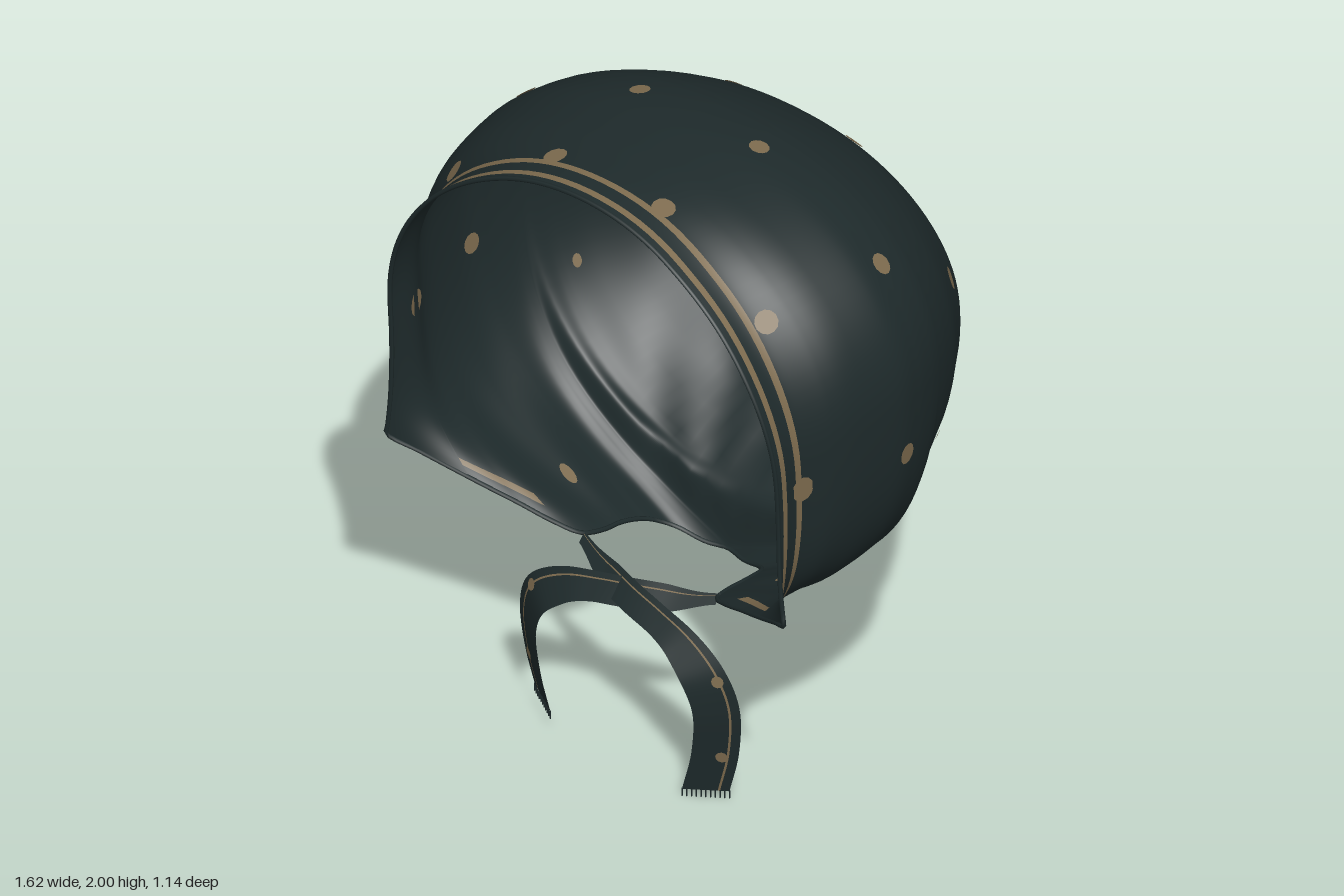
import * as THREE from 'three';
import { mergeVertices } from 'three/addons/utils/BufferGeometryUtils.js';

const V = (x, y, z) => new THREE.Vector3(x, y, z);
const smooth = THREE.MathUtils.smoothstep;

// Arch sections from the face opening to the back of the head:
// [z, half width, height of widest point, top y] and the arch end [x, y]
const SECTIONS = [
  [0.55, 0.71, 1.3, 1.975, 0.73, 0.85],
  [0.45, 0.71, 1.32, 1.985, 0.58, 0.752],
  [0.35, 0.76, 1.36, 1.99, 0.41, 0.662],
  [0.26, 0.787, 1.38, 1.995, 0.25, 0.59],
  [0.12, 0.807, 1.4, 2.0, 0.225, 0.565],
  [0.03, 0.797, 1.4, 1.995, 0.205, 0.54],
  [-0.04, 0.78, 1.4, 1.983, 0.15, 0.5],
  [-0.08, 0.767, 1.398, 1.972, 0, 0.475],
  [-0.11, 0.755, 1.39, 1.962, 0, 0.62],
  [-0.17, 0.728, 1.375, 1.937, 0, 0.685],
  [-0.25, 0.685, 1.355, 1.895, 0, 0.74],
  [-0.34, 0.62, 1.33, 1.835, 0, 0.80],
  [-0.42, 0.56, 1.31, 1.75, 0, 0.88],
  [-0.5, 0.48, 1.28, 1.62, 0, 0.97],
  [-0.54, 0.4, 1.27, 1.5, 0, 1.07],
  [-0.56, 0.26, 1.26, 1.4, 0, 1.15],
  [-0.568, 0, 1.26, 1.26, 0, 1.26],
];
const spline = (pts) => new THREE.CatmullRomCurve3(pts, false, 'catmullrom', 0.5);
const curveA = spline(SECTIONS.map((s) => V(s[0], s[1], s[2])));
const curveB = spline(SECTIONS.map((s) => V(s[3], s[4], s[5])));
const STEPS = 20, ROWS = (SECTIONS.length - 1) * STEPS, COLS = 96, NECK_ROW = 7 * STEPS;
const bezier = (t, a, b, c, d) =>
  a * (1 - t) ** 3 + 3 * b * t * (1 - t) ** 2 + 3 * c * t * t * (1 - t) + d * t ** 3;

// Point of the cap; s runs from -1 (left end) over 0 (top) to 1 (right end)
function capPoint(row, s) {
  const a = curveA.getPoint(row / ROWS), b = curveB.getPoint(row / ROWS);
  const width = Math.max(a.y, 0), endX = Math.max(b.y, 0), mid = a.z, endY = b.z;
  const q = Math.abs(s) * 2;
  let x, y, z = a.x;
  if (q < 1) {
    const e = 1 - 0.08 * (1 - smooth(z, 0.25, 0.5)), ang = q * Math.PI / 2;
    x = width * Math.pow(Math.sin(ang), e);
    y = mid + (b.x - mid) * Math.pow(Math.cos(ang), e);
  } else {
    const slope = 0.25 * smooth(z, -0.15, -0.06), h = mid - endY;
    const full = smooth(z, -0.1, 0.15);
    x = bezier(q - 1, width, width, endX + (0.6 + 0.06 * full) * (width - endX), endX);
    y = bezier(q - 1, mid, mid - (0.63 + 0.09 * full) * h, endY + slope * h, endY);
  }
  // Wavy front edge
  z += smooth(a.x, 0.2, 0.5) * (-0.02 + 0.032 * smooth(y, 1.1, 1.7) - 0.012 * smooth(y, 1.85, 1.98));
  // Gathers fanning out from the neck
  const fold = 0.009 * smooth(y, 0.55, 0.66) * (1 - smooth(y, 0.7, 1.15)) * (1 - smooth(z, 0.22, 0.38));
  const dir = Math.atan2(x, 0.1 - z);
  const r = fold * Math.cos(dir * 14);
  x += r * Math.sin(dir);
  z -= r * Math.cos(dir);
  return V(s < 0 ? x : -x, y, z);
}

// Cap point moved slightly outward (k > 1) or inward (k < 1)
function offsetPoint(row, s, k) {
  const p = capPoint(row, s);
  return V(p.x * k, 1.3 + (p.y - 1.3) * k, p.z);
}

// Grid surface with material groups chosen per cell row
function gridGeometry(rows, cols, point, isTrim) {
  const pos = [], idx = [], geo = new THREE.BufferGeometry();
  for (let i = 0; i <= rows; i++)
    for (let j = 0; j <= cols; j++) pos.push(...point(i, j).toArray());
  for (let i = 0; i < rows; i++) {
    geo.addGroup(idx.length, cols * 6, isTrim(i) ? 1 : 0);
    for (let j = 0; j < cols; j++) {
      const a = i * (cols + 1) + j, b = a + cols + 1;
      idx.push(a, b, a + 1, b, b + 1, a + 1);
    }
  }
  geo.setAttribute('position', new THREE.Float32BufferAttribute(pos, 3));
  geo.setIndex(idx);
  const merged = mergeVertices(geo);
  merged.computeVertexNormals();
  return merged;
}

export function createModel() {
  const model = new THREE.Group();
  const fabric = new THREE.MeshStandardMaterial({ color: 0x1e2a2b, side: THREE.DoubleSide });
  fabric.name = 'dark teal fabric';
  const gold = new THREE.MeshStandardMaterial({ color: 0x7d6b4e, side: THREE.DoubleSide });
  gold.name = 'dull gold';
  const add = (parent, geo, mat, name) => {
    const mesh = new THREE.Mesh(geo, mat);
    mesh.name = name;
    parent.add(mesh);
    return mesh;
  };
  // Thin disc on both sides of a cloth surface, stretched up the slope
  const addSpot = (parent, center, normal, radius, stretch) => {
    for (const side of [1, -1]) {
      const disc = add(parent, new THREE.CircleGeometry(radius, 12), gold, 'spot');
      disc.scale.y = stretch;
      disc.position.copy(center).addScaledVector(normal, 0.004 * side);
      disc.lookAt(disc.position.clone().addScaledVector(normal, side));
    }
  };

  // Cap with two gold bands following the face opening
  const inBand = (i) => (i >= 5 && i < 9) || (i >= 17 && i < 21);
  const capGeo = gridGeometry(ROWS, COLS, (i, j) => capPoint(i, j / COLS * 2 - 1), inBand);
  add(model, capGeo, [fabric, gold], 'cap');

  // Plain lining strip behind the bands
  const liningPoint = (i, j) => offsetPoint(i, j / COLS * 2 - 1, 0.993);
  add(model, gridGeometry(25, COLS, liningPoint, () => false), [fabric], 'lining');

  // Inner band continued along the slanting lower edge, outside and inside
  for (const m of [1, -1]) {
    for (const k of [1.006, 0.994]) {
      const trim = (i, j) => offsetPoint(20 + i, m * (0.945 + 0.012 * j), k);
      add(model, gridGeometry(32, 2, trim, () => true), [fabric, gold], 'edgeTrim');
    }
  }

  // Rolled hem round the face opening and the neck
  const hem = [];
  for (let j = 0; j <= 48; j++) hem.push(capPoint(0, j / 24 - 1));
  for (let i = 10; i <= NECK_ROW; i += 10) hem.push(capPoint(i, 1));
  for (let i = NECK_ROW - 10; i > 0; i -= 10) hem.push(capPoint(i, -1));
  add(model, new THREE.TubeGeometry(new THREE.CatmullRomCurve3(hem, true), 240, 0.007, 6, true), fabric, 'hem');

  // Spots on the cap, mirrored in x: [x, y, z, radius, stretch]
  const spots = new THREE.Group();
  spots.name = 'spots';
  model.add(spots);
  const P = capGeo.attributes.position, N = capGeo.attributes.normal;
  const spotAt = (x, y, z, radius, stretch = 1) => {
    const target = V(x, y, z), p = V(), n = V();
    let best = 0, bestD = Infinity;
    for (let k = 0; k < P.count; k++) {
      const d = p.fromBufferAttribute(P, k).distanceToSquared(target);
      if (d < bestD) { bestD = d; best = k; }
    }
    p.fromBufferAttribute(P, best);
    n.fromBufferAttribute(N, best);
    target.addScaledVector(n, -target.clone().sub(p).dot(n));
    addSpot(spots, target, n, radius, stretch);
  };
  const spotList = [
    [0.215, 1.96, 0.045, 0.03], [0.65, 1.77, 0.025, 0.03, 1.1],
    [0.22, 1.80, -0.365, 0.029, 1.1], [0.59, 1.51, -0.34, 0.023, 1.6],
    [0.21, 1.275, -0.55, 0.032, 1.25], [0.8, 1.235, 0.09, 0.029, 1.15],
    [0.51, 1.1, -0.41, 0.02, 1.6], [0.66, 1.09, -0.2, 0.014, 1.5],
    [0.195, 1.95, 0.425, 0.035], [0.59, 1.76, 0.435, 0.035],
    [0.71, 1.25, 0.43, 0.035, 1.15], [0.4, 0.66, 0.14, 0.018, 2],
  ];
  for (const [x, ...rest] of spotList) for (const m of [1, -1]) spotAt(x * m, ...rest);

  // Ties: flat ribbons that cross under the chin and hang down, with a fringe
  const makeTie = (mirror, endY, shiftZ, name) => {
    const tie = new THREE.Group();
    tie.name = name;
    model.add(tie);
    const path = new THREE.CatmullRomCurve3([
      [-0.245, 0.58, 0.26], [-0.13, 0.55, 0.305], [0, 0.535, 0.345], [0.12, 0.515, 0.365],
      [0.22, 0.485, 0.38], [0.31, 0.42, 0.39], [0.35, 0.32, 0.38], [0.34, 0.17, 0.37], [0.305, endY, 0.37],
    ].map(([x, y, z]) => V(x * mirror, y, z + shiftZ)));
    const across = (t) => {
      const k = smooth(t, 0.36, 0.78);
      return V(0, 0.033, -0.03).multiplyScalar(0.4 + 0.6 * smooth(t, 0, 0.2))
        .lerp(V(0.058, 0.004, -0.034), k)
        .add(V(0.08, 0.04, 0).multiplyScalar(k * (1 - k))).multiply(V(mirror, 1, 1));
    };
    const onTie = (t, w) => path.getPointAt(t).addScaledVector(across(t), w);
    const edges = [-1, -0.3, 0.5, 0.6, 1];
    add(tie, gridGeometry(4, 60, (i, j) => onTie(j / 60, edges[i]), (i) => i === 2), [fabric, gold], 'ribbon');
    // Small spots down the ribbon
    for (const [t, w] of [[0.62, 0.5], [0.87, 0.3]]) {
      const n = path.getTangentAt(t).cross(across(t)).normalize();
      addSpot(tie, onTie(t, w), n, 0.018, 1);
    }
    // Fringe threads
    for (let k = 0; k <= 10; k++) {
      const thread = add(tie, new THREE.BoxGeometry(0.003, 0.026, 0.003), fabric, 'fringe');
      thread.position.copy(onTie(1, k / 5 - 1));
      thread.position.y -= 0.01;
    }
  };
  makeTie(1, 0.027, 0, 'leftTie');
  makeTie(-1, 0.062, -0.012, 'rightTie');

  return model;
}
